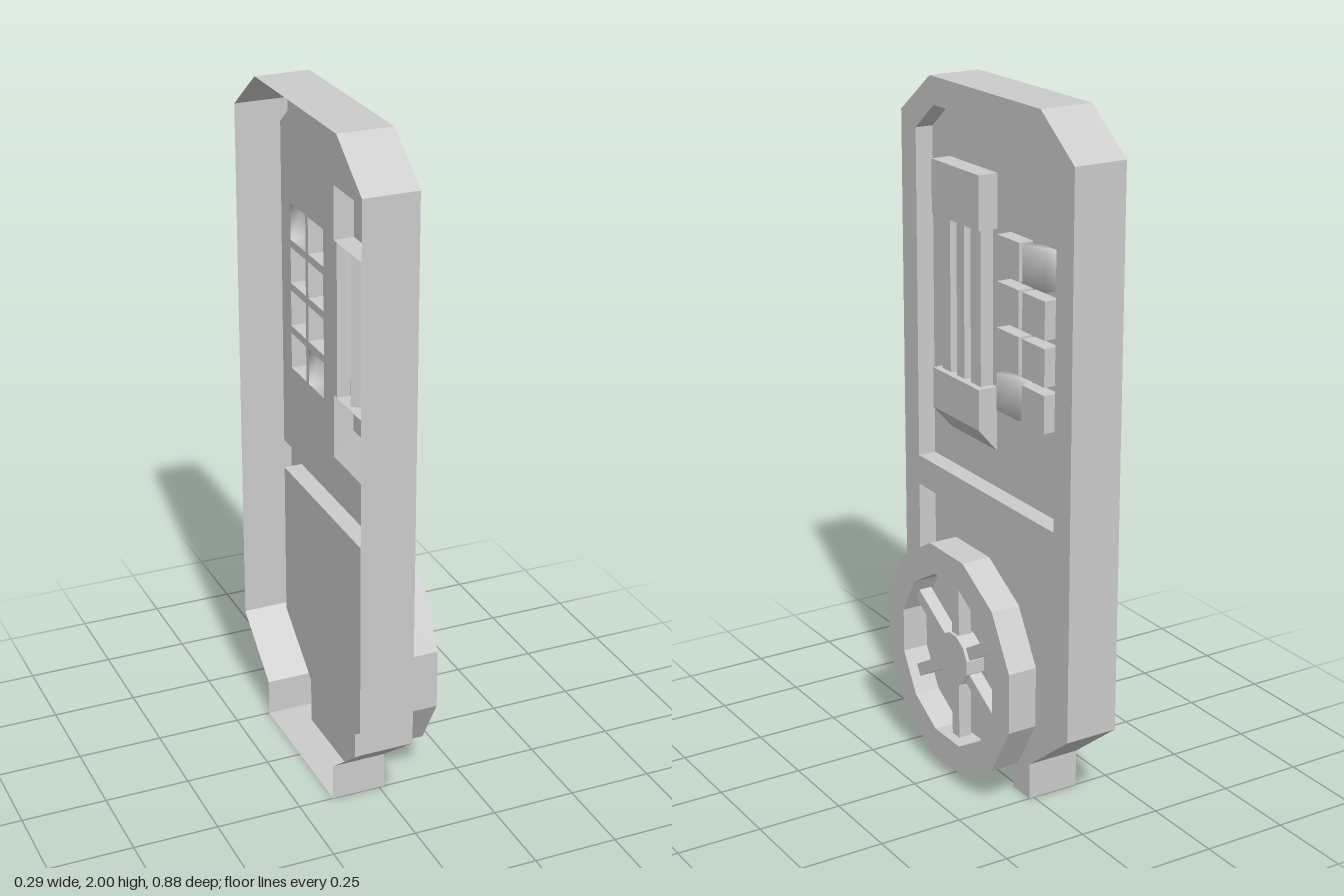
import * as THREE from 'three';
import { mergeGeometries, mergeVertices } from 'three/addons/utils/BufferGeometryUtils.js';

const BACK = -0.145, FLOOR = -0.04, FRONT = 0.015;
const grey = new THREE.MeshStandardMaterial({ color: 0xcccccc, side: THREE.DoubleSide });

// Everything is laid out in the XY plane facing +z, then turned to face +x.
const rect = (x0, y0, x1, y1) => [[x0, y0], [x1, y0], [x1, y1], [x0, y1]];
const at = (pts, d) => pts.map(([x, y]) => [x, y, d]);

// Flat-shaded band of quads between two matching rows of 3D points
function band(a, b, closed = false) {
  const pos = [];
  const n = closed ? a.length : a.length - 1;
  for (let i = 0; i < n; i++) {
    const j = (i + 1) % a.length;
    pos.push(...a[i], ...a[j], ...b[j], ...a[i], ...b[j], ...b[i]);
  }
  const g = new THREE.BufferGeometry();
  g.setAttribute('position', new THREE.Float32BufferAttribute(pos, 3));
  g.computeVertexNormals();
  return g;
}

// Flat plate at depth d, with optional holes
function plate(pts, d, holes = []) {
  const toVec = (p) => p.map(([x, y]) => new THREE.Vector2(x, y));
  const shape = new THREE.Shape(toVec(pts));
  holes.forEach((h) => shape.holes.push(new THREE.Path(toVec(h))));
  const g = new THREE.ShapeGeometry(shape).toNonIndexed();
  g.deleteAttribute('uv');
  return g.translate(0, 0, d);
}

// Raised block, hollow from behind
const cup = (base, top, d) =>
  mergeGeometries([band(at(base, FLOOR), at(top, d), true), plate(top, d)]);

function add(parent, name, geometry) {
  const m = new THREE.Mesh(geometry, grey);
  m.name = name;
  parent.add(m);
  return m;
}

// Regular twelve-sided ring of points with flats at top and sides
const ring = (r) => Array.from({ length: 12 }, (_, i) => {
  const a = (i + 0.5) * Math.PI / 6;
  return [r * Math.cos(a), r * Math.sin(a)];
});

function buildShell(parent) {
  const half = [[0.165, 0], [0.25, 0], [0.25, 0.11], [0.44, 0.26], [0.44, 1.88], [0.28, 2]];
  const mirror = (p) => p.map(([x, y]) => [-x, y]).reverse();
  const outer = [...half, ...mirror(half)];
  const lowHalf = [[0.165, 0], [0.165, 0.14], [0.36, 0.29], [0.36, 0.77]];
  const lower = [...lowHalf, ...mirror(lowHalf)];
  const upHalf = [[0.36, 0.86], [0.36, 1.84], [0.26, 1.92]];
  const upper = [...upHalf, ...mirror(upHalf)];

  // Outer wall, open at the back
  add(parent, 'outerWall', mergeGeometries([
    band(at(outer, BACK), at(outer, FRONT)),
    band([[-0.165, 0, BACK], [0.165, 0, BACK]], [[-0.165, 0, FLOOR], [0.165, 0, FLOOR]]),
  ]));
  // Front frame: the lower recess runs out through the bottom edge
  const frame = [...half, ...mirror(half), ...[...lower].reverse()];
  add(parent, 'frontFrame', plate(frame, FRONT, [upper]));
  add(parent, 'upperRecessWall', band(at(upper, FRONT), at(upper, FLOOR), true));
  add(parent, 'lowerRecessWall', band(at(lower, FRONT), at(lower, FLOOR)));
  add(parent, 'lowerPanel', plate(lower, FLOOR));
  return upper;
}

function buildButtons(parent) {
  const holes = [];
  for (let row = 0; row < 4; row++) {
    for (let col = 0; col < 2; col++) {
      const x = 0.055 + col * 0.128, y = 1.513 - row * 0.131;
      const r = rect(x, y, x + 0.11, y + 0.108);
      let g = cup(r, r, 0.005);
      // Two of the buttons have softly shaded edges
      if ((row === 0 && col === 1) || (row === 3 && col === 0)) {
        g.deleteAttribute('normal');
        g = mergeVertices(g);
        g.computeVertexNormals();
      }
      add(parent, 'button', g);
      holes.push(r);
    }
  }
  return holes;
}

function buildSlider(parent) {
  const top = rect(-0.265, 1.615, -0.015, 1.77);
  add(parent, 'sliderTopBlock', cup(top, top, 0.02));
  // Bottom block slopes back to the panel underneath
  add(parent, 'sliderBottomBlock',
    cup(rect(-0.265, 0.97, -0.015, 1.16), rect(-0.265, 1.04, -0.015, 1.16), 0.02));
  // Ribbed column with two V grooves
  const d = 0, v = -0.03;
  const profile = [[-0.247, FLOOR], [-0.247, d], [-0.2, d], [-0.183, v], [-0.165, d],
    [-0.125, d], [-0.107, v], [-0.09, d], [-0.037, d], [-0.037, FLOOR]];
  const row = (y) => profile.map(([x, z]) => [x, y, z]);
  add(parent, 'ribbedColumn', band(row(1.16), row(1.615)));
  return [[-0.265, 0.97], [-0.015, 0.97], [-0.015, 1.16], [-0.037, 1.16], [-0.037, 1.615],
    [-0.015, 1.615], [-0.015, 1.77], [-0.265, 1.77], [-0.265, 1.615], [-0.247, 1.615],
    [-0.247, 1.16], [-0.265, 1.16]];
}

function buildWheel(parent) {
  const wheel = new THREE.Group();
  wheel.name = 'handWheel';
  wheel.position.set(0.01, 0.372, 0);
  const outer = ring(0.345), inner = ring(0.255), back = 0.057, front = 0.145;
  add(wheel, 'wheelRim', mergeGeometries([
    band(at(outer, back), at(outer, front), true),
    band(at(inner, front), at(inner, back + 0.01), true),
    plate(outer, front, [inner]),
  ]));
  add(wheel, 'wheelBack', mergeGeometries([plate(outer, back), plate(inner, back + 0.01)]));
  // Hub and axle
  const hub = ring(0.08);
  add(wheel, 'wheelHub', mergeGeometries([
    band(at(hub, back), at(hub, 0.125), true), plate(hub, 0.125)]));
  const axle = new THREE.CylinderGeometry(0.039, 0.039, back - FLOOR, 16, 1, true);
  axle.rotateX(Math.PI / 2).translate(0, 0, (back + FLOOR) / 2);
  add(wheel, 'axle', axle);
  // Six spokes
  for (let i = 0; i < 6; i++) {
    const g = new THREE.BoxGeometry(0.19, 0.037, 0.04);
    g.translate(0.16, 0, 0.095).rotateZ(Math.PI / 6 + i * Math.PI / 3);
    add(wheel, 'spoke', g);
  }
  parent.add(wheel);
}

export function createModel() {
  const model = new THREE.Group();
  model.name = 'controlPanel';
  const body = new THREE.Group();
  body.name = 'panelBody';
  body.rotation.y = Math.PI / 2;
  model.add(body);

  const upper = buildShell(body);
  const holes = [...buildButtons(body), buildSlider(body)];
  add(body, 'upperPanel', plate(upper, FLOOR, holes));
  buildWheel(body);
  return model;
}
